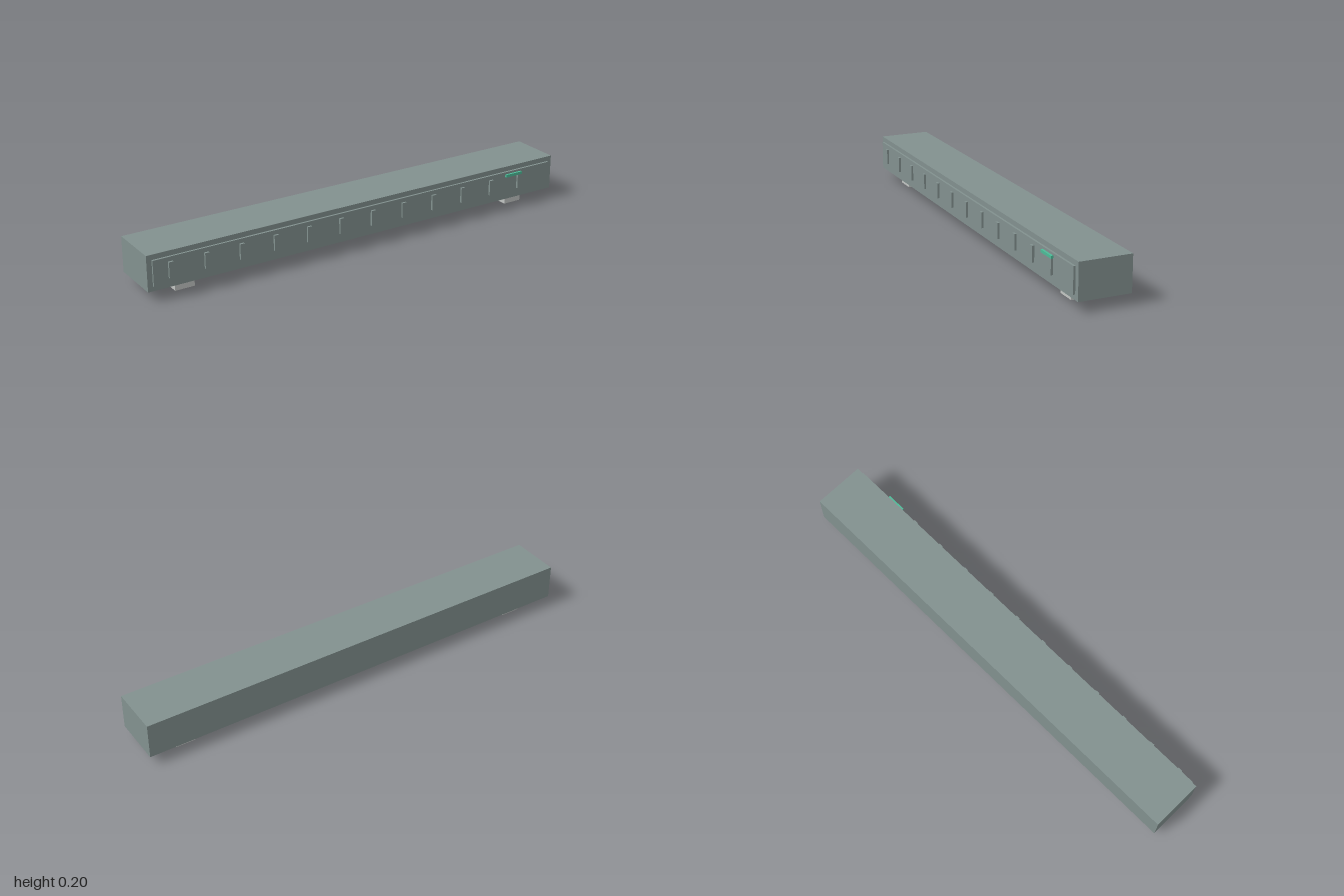
import * as THREE from 'three';

export function createModel() {
  const model = new THREE.Group();
  const material = (name, color) => {
    const m = new THREE.MeshStandardMaterial({ color });
    m.name = name;
    return m;
  };
  const casing = material('grey green', 0x82918f);
  const pale = material('pale grey', 0xc2c5c3);
  const teal = material('teal', 0x4dbb98);

  // Box given by its lower and upper limits on each axis
  const box = (name, mat, [x0, x1], [y0, y1], [z0, z1]) => {
    const mesh = new THREE.Mesh(new THREE.BoxGeometry(x1 - x0, y1 - y0, z1 - z0), mat);
    mesh.position.set((x0 + x1) / 2, (y0 + y1) / 2, (z0 + z1) / 2);
    mesh.name = name;
    model.add(mesh);
  };

  // Long housing with a raised front panel
  box('housing', casing, [-1, 1], [0.046, 0.2], [-0.121, 0.103]);
  box('frontPanel', casing, [-0.978, 0.978], [0.068, 0.178], [0.103, 0.112]);

  // Evenly spaced upright ribs on the panel
  for (let i = 0; i < 12; i++) {
    const x = -0.904 + i * 0.1556;
    box('rib', casing, [x - 0.01, x + 0.01], [0.091, 0.159], [0.112, 0.121]);
  }

  // Small indicator light by the last rib
  box('indicatorLight', teal, [0.733, 0.819], [0.156, 0.168], [0.112, 0.1215]);

  // Feet
  for (const x of [-0.822, 0.822]) {
    box('foot', pale, [x - 0.043, x + 0.043], [0, 0.046], [-0.075, 0.059]);
  }

  return model;
}
